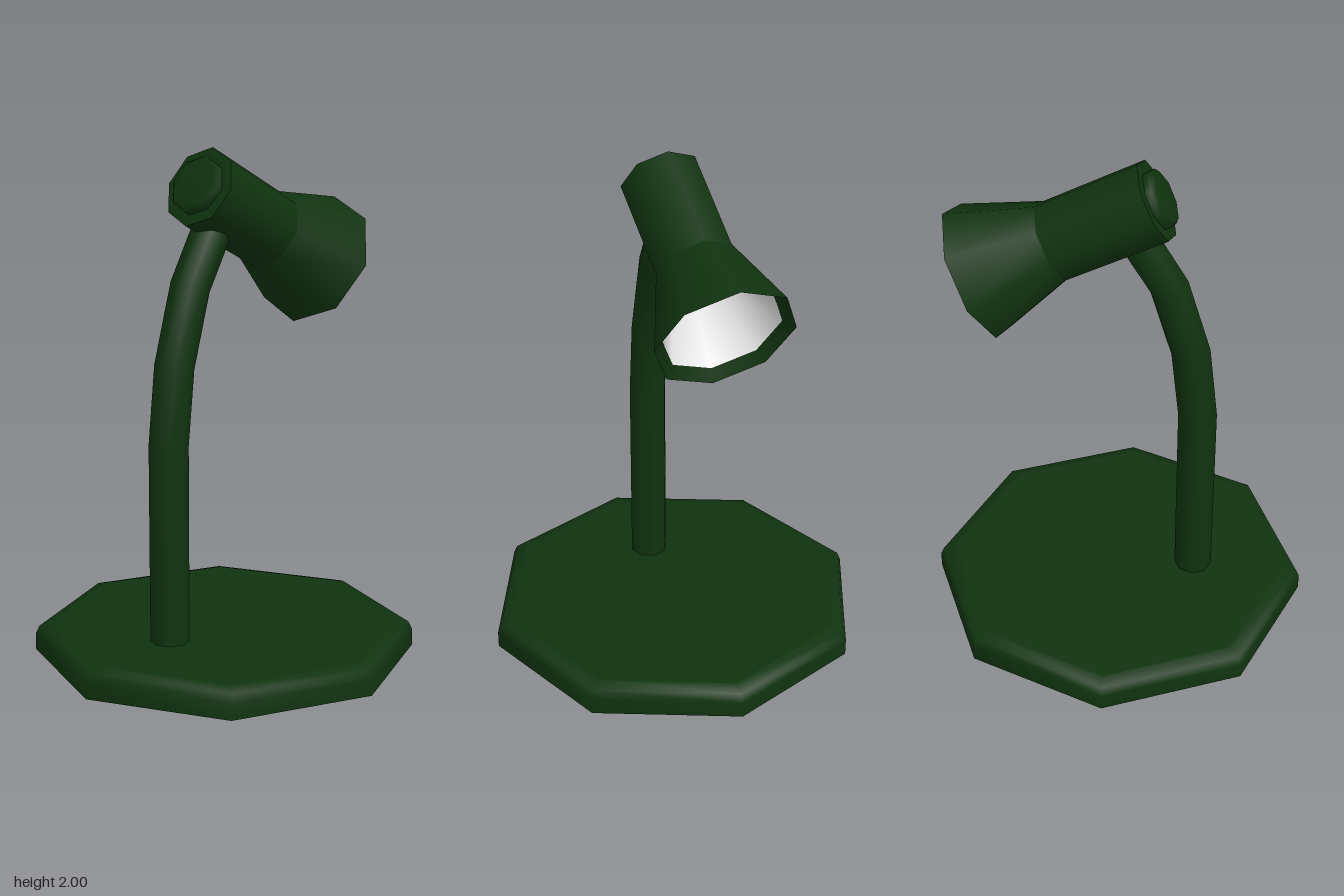
import * as THREE from 'three';

const SIDES = 8;

// Revolve a profile of [radius, height] points; a repeated point makes a sharp edge.
function turned(name, profile, material) {
  const points = profile.map(([r, y]) => new THREE.Vector2(r, y));
  const mesh = new THREE.Mesh(new THREE.LatheGeometry(points, SIDES), material);
  mesh.name = name;
  return mesh;
}

// Path that keeps its rings exactly at the given points.
class JointedPath extends THREE.Curve {
  constructor(points) {
    super();
    this.points = points;
  }
  getPointAt(t, target = new THREE.Vector3()) {
    return target.copy(this.points[Math.round(t * (this.points.length - 1))]);
  }
  getPoint(t, target) {
    return this.getPointAt(t, target);
  }
  getTangentAt(t, target = new THREE.Vector3()) {
    const p = this.points;
    const i = Math.round(t * (p.length - 1));
    const into = p[Math.max(i, 1)].clone().sub(p[Math.max(i, 1) - 1]).normalize();
    const j = Math.min(i, p.length - 2);
    const out = p[j + 1].clone().sub(p[j]).normalize();
    return target.copy(into).add(out).normalize();
  }
}

export function createModel() {
  const green = new THREE.MeshStandardMaterial({ color: 0x10330f });
  green.name = 'dark green enamel';
  const white = new THREE.MeshStandardMaterial({ color: 0xeaeaea });
  white.name = 'white reflector';

  const lamp = new THREE.Group();
  lamp.name = 'deskLamp';

  // Octagonal foot with a softened top edge
  lamp.add(turned('base', [
    [0, 0], [0.755, 0], [0.755, 0], [0.755, 0.065], [0.74, 0.098],
    [0.69, 0.112], [0.69, 0.112], [0, 0.112],
  ], green));

  // Straight post that bends over towards the head
  const path = [
    [-0.31, 0.08], [-0.31, 0.89], [-0.277, 1.19], [-0.19, 1.485], [-0.07, 1.69], [-0.02, 1.78],
  ].map(([x, y]) => new THREE.Vector3(x, y, 0));
  const post = new THREE.Mesh(
    new THREE.TubeGeometry(new JointedPath(path), path.length - 1, 0.076, SIDES), green);
  post.name = 'post';
  lamp.add(post);

  // Head, turned along its own axis from the back end to the mouth
  const head = new THREE.Group();
  head.name = 'head';
  head.position.set(-0.1375, 1.8575, 0);
  head.rotation.z = -2.046;
  head.add(turned('shade', [
    [0, 0], [0.16, 0], [0.16, 0], [0.158, 0.423], [0.158, 0.423],
    [0.27, 0.748], [0.27, 0.748], [0.228, 0.71],
  ], green));
  head.add(turned('reflector', [[0.228, 0.71], [0.14, 0.45], [0, 0.42]], white));
  head.add(turned('backCap', [
    [0, -0.04], [0.098, -0.04], [0.115, -0.024], [0.115, 0.01],
  ], green));
  lamp.add(head);

  return lamp;
}
